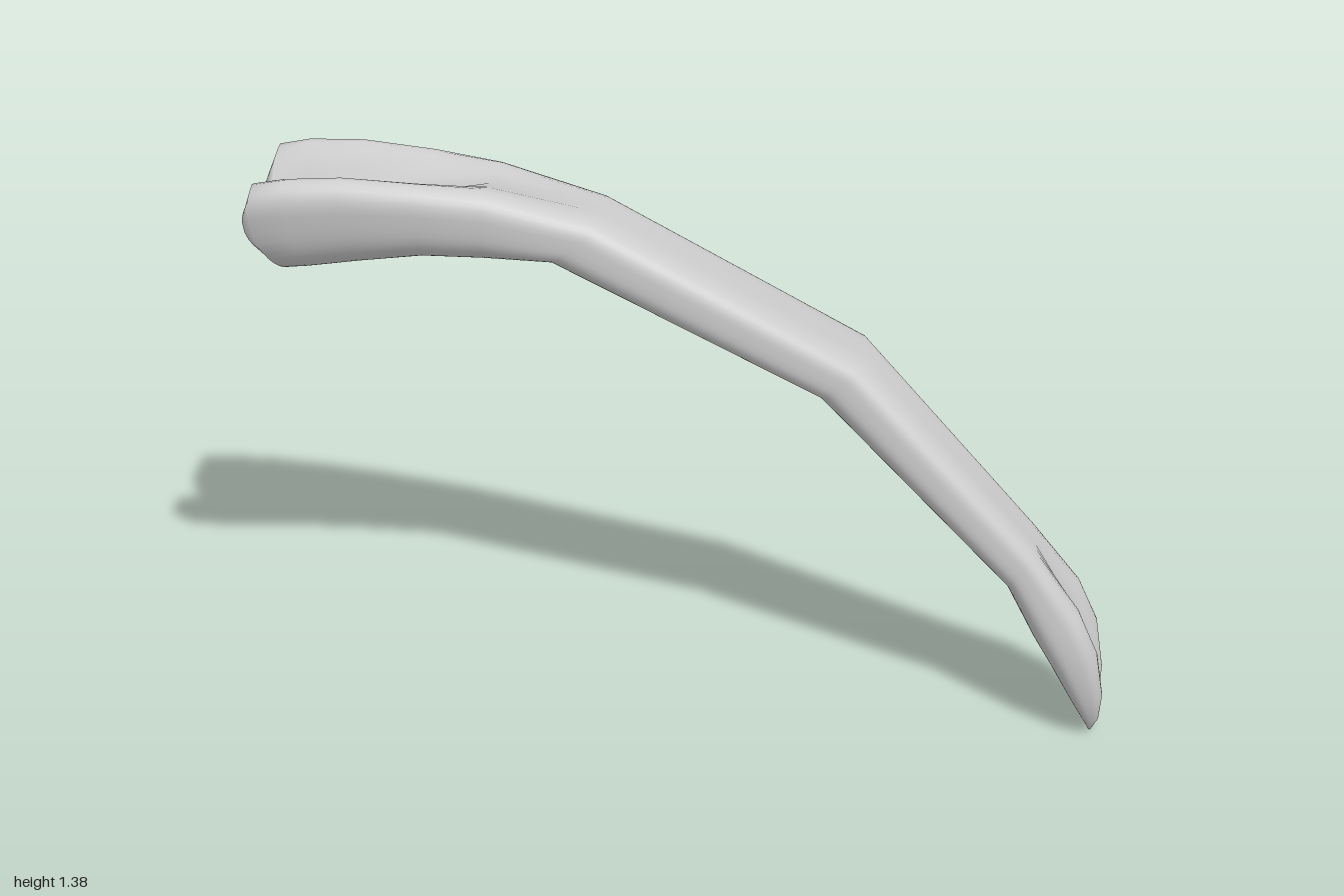
import * as THREE from 'three';

const SEGMENTS = 48;

// Cross-sections from the forked end to the pointed end:
// upper x, y, lower x, y, half width, groove depth (share of thickness), taper of the lower side, bulge along x
const SECTIONS = [
  [-0.965, 1.34, -0.925, 1.14, 0.160, 0.82, 0.40, -0.050],
  [-0.965, 1.375, -0.920, 1.12, 0.182, 0.82, 0.38, -0.030],
  [-0.90, 1.39, -0.870, 1.127, 0.186, 0.76, 0.36, 0],
  [-0.77, 1.395, -0.750, 1.147, 0.178, 0.60, 0.32, 0],
  [-0.60, 1.38, -0.600, 1.170, 0.164, 0.38, 0.25, 0],
  [-0.44, 1.36, -0.460, 1.172, 0.142, 0.12, 0.15, 0],
  [-0.19, 1.29, -0.310, 1.172, 0.121, 0, 0.05, 0],
  [0.41, 0.97, 0.310, 0.870, 0.119, 0, 0, 0],
  [0.82, 0.51, 0.760, 0.400, 0.103, 0, 0, 0],
  [0.94, 0.36, 0.825, 0.275, 0.119, 0.25, 0, 0],
  [0.99, 0.25, 0.870, 0.200, 0.120, 0.45, 0, 0],
  [1.007, 0.13, 0.925, 0.100, 0.099, 0.50, 0, 0],
  [1.0, 0.05, 0.960, 0.035, 0.063, 0.40, 0, 0],
  [0.985, 0.008, 0.975, 0.0, 0.028, 0, 0, 0],
];

// Rounded slab outline, with a valley pressed into its upper side
function sectionPoint([ux, uy, lx, ly, w, groove, taper, bulge], angle) {
  const c = Math.cos(angle), s = Math.sin(angle);
  const power = s > 0 ? 3.2 : 2.6;
  const u = Math.sign(c) * Math.abs(c) ** (2 / power);
  let t = Math.sign(s) * Math.abs(s) ** (2 / power);
  if (s > 0 && Math.abs(u) < 0.75) {
    t -= groove * (1 + Math.cos(Math.PI * u / 0.75));
  }
  const k = (t + 1) / 2;
  return [
    lx + (ux - lx) * k + bulge * (1 - t * t),
    ly + (uy - ly) * k,
    w * u * (1 - taper * (1 - k)),
  ];
}

function loftGeometry(sections) {
  const positions = [], index = [];
  for (const section of sections) {
    for (let j = 0; j < SEGMENTS; j++) {
      positions.push(...sectionPoint(section, (j / SEGMENTS) * Math.PI * 2));
    }
  }
  const at = (i, j) => i * SEGMENTS + (j % SEGMENTS);

  // Skin between neighbouring sections
  for (let i = 0; i < sections.length - 1; i++) {
    for (let j = 0; j < SEGMENTS; j++) {
      const a = at(i, j), b = at(i + 1, j), c = at(i + 1, j + 1), d = at(i, j + 1);
      index.push(a, b, c, a, c, d);
    }
  }

  // End caps, bridging the upper edge to the lower edge
  const last = sections.length - 1;
  for (let j = 0; j < SEGMENTS / 2; j++) {
    const corners = [j, j + 1, SEGMENTS - j - 1, SEGMENTS - j];
    const [a, b, c, d] = corners.map((n) => at(0, n));
    index.push(a, b, c, a, c, d);
    const [e, f, g, h] = corners.map((n) => at(last, n));
    index.push(e, g, f, e, h, g);
  }

  const geometry = new THREE.BufferGeometry();
  geometry.setAttribute('position', new THREE.Float32BufferAttribute(positions, 3));
  geometry.setIndex(index);
  geometry.computeVertexNormals();
  return geometry;
}

export function createModel() {
  const group = new THREE.Group();
  group.name = 'curvedBone';
  const material = new THREE.MeshStandardMaterial({ color: 0xcccccc });
  const shaft = new THREE.Mesh(loftGeometry(SECTIONS), material);
  shaft.name = 'boneShaft';
  group.add(shaft);
  return group;
}
